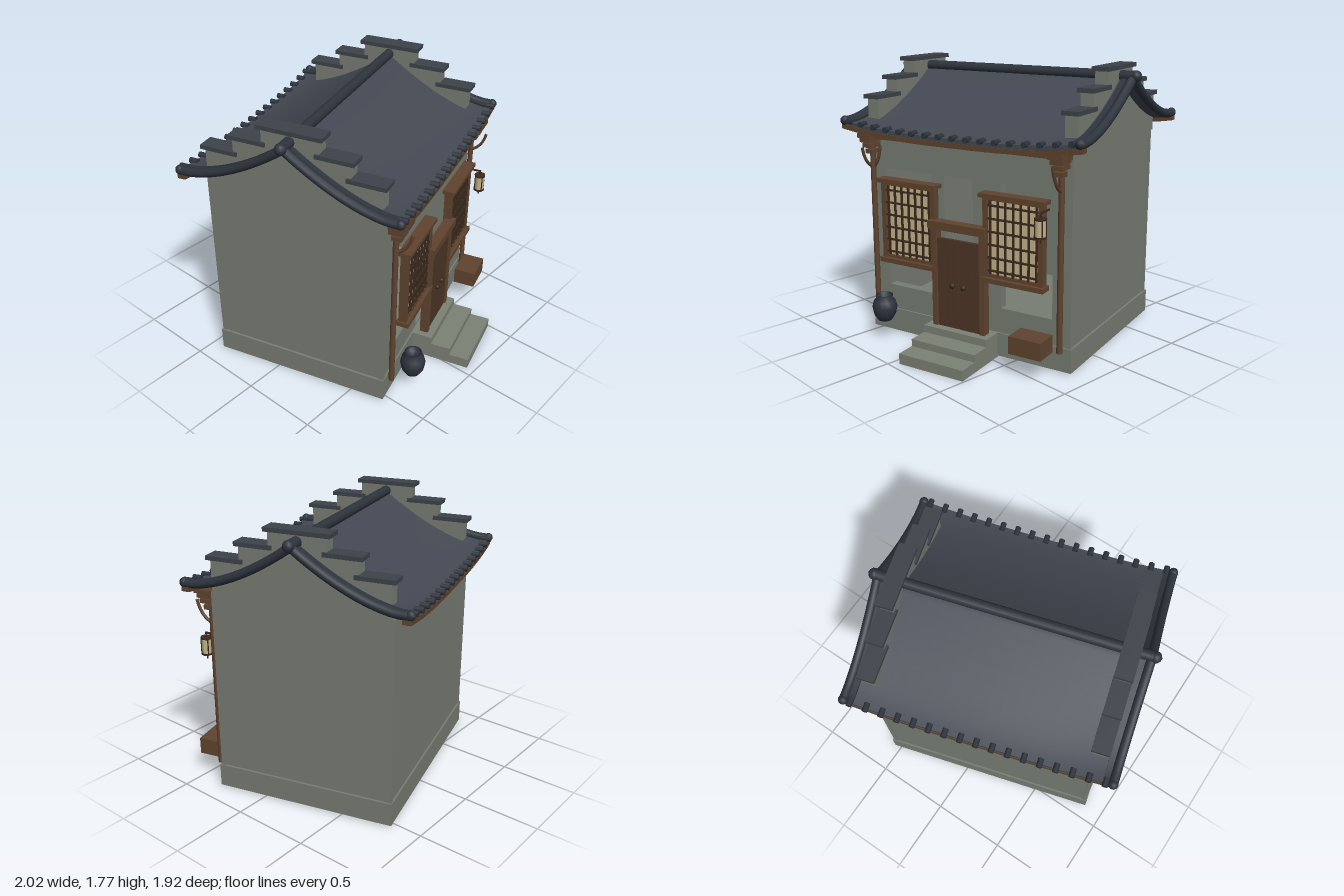
import * as THREE from 'three';

const mat = (name, color) => {
  const m = new THREE.MeshStandardMaterial({ color });
  m.name = name;
  return m;
};

export function createModel() {
  const M = {
    wall: mat('grey plaster', 0x777d73),
    stone: mat('step stone', 0x7c8276),
    roof: mat('roof slate', 0x434852),
    cap: mat('coping slate', 0x3d434a),
    tile: mat('dark ridge tile', 0x2e343d),
    wood: mat('brown timber', 0x60442f),
    door: mat('door timber', 0x4c3524),
    lattice: mat('lattice timber', 0x3a291d),
    paper: mat('window paper', 0xc6b78d),
    jar: mat('jar glaze', 0x2f343f),
  };
  const model = new THREE.Group();
  model.name = 'house';
  // The house stands turned about the vertical
  const house = new THREE.Group();
  house.name = 'turnedHouse';
  house.rotation.y = 0.281;
  house.position.z = -0.05;
  model.add(house);

  const add = (name, geo, m, x = 0, y = 0, z = 0, parent = house) => {
    const mesh = new THREE.Mesh(geo, m);
    mesh.name = name;
    mesh.position.set(x, y, z);
    parent.add(mesh);
    return mesh;
  };
  // Box given by its centre in x and z and its bottom and top in y
  const box = (name, m, x, y0, y1, z, w, d, parent) =>
    add(name, new THREE.BoxGeometry(w, y1 - y0, d), m, x, (y0 + y1) / 2, z, parent);
  const group = (name, x = 0, y = 0, z = 0) => {
    const g = new THREE.Group();
    g.name = name;
    g.position.set(x, y, z);
    house.add(g);
    return g;
  };
  const sides = [-1, 1];

  // Plinth and hollow walls
  box('plinth', M.wall, 0, 0.01, 0.16, 0, 1.47, 1.17);
  const front = new THREE.Shape([[-0.72, 0.16], [0.72, 0.16], [0.72, 1.33], [-0.72, 1.33]]
    .map(p => new THREE.Vector2(...p)));
  for (const [a, b, low] of [[-0.6, -0.25, 0.32], [-0.155, 0.155, 0.17], [0.25, 0.6, 0.32]]) {
    front.holes.push(new THREE.Path([[a, low], [a, 1.1], [b, 1.1], [b, low]]
      .map(p => new THREE.Vector2(...p))));
  }
  add('frontWall', new THREE.ExtrudeGeometry(front, { depth: 0.06, bevelEnabled: false }), M.wall, 0, 0, 0.513);
  box('backWall', M.wall, 0, 0.16, 1.33, -0.543, 1.44, 0.06);
  for (const s of sides) {
    box('sideWall', M.wall, s * 0.69, 0.16, 1.33, 0, 0.06, 1.03);
    for (const t of sides) box('cornerStrip', M.wall, s * 0.711, 0.16, 1.33, t * 0.564, 0.03, 0.03);
    // Stepped gable with slate copings
    [[0.18, 1.745], [0.37, 1.64], [0.56, 1.535]].forEach(([half, top], i) => {
      box('gableStep', M.wall, s * 0.7, 1.3, top, 0, 0.085 - i * 0.001, half * 2);
      if (i === 0) box('topCoping', M.cap, s * 0.7, top, top + 0.026, 0, 0.11, 0.41);
      else for (const t of sides) box('coping', M.cap, s * 0.7, top, top + 0.026, t * (half - 0.095), 0.11, 0.24);
    });
  }

  // Sagging roof with lifted corners
  const lift = x => 0.05 * Math.abs(x / 0.84) ** 3;
  const roofY = (x, z) => {
    const t = Math.min(1, Math.abs(z) / 0.7);
    return 1.345 + 0.34 * (1 - t) ** 1.5 + lift(x) * t * t;
  };
  const bend = (geo, rule) => {
    const p = geo.attributes.position;
    for (let i = 0; i < p.count; i++) p.setY(i, p.getY(i) + rule(p.getX(i), p.getZ(i)));
    geo.computeVertexNormals();
    return geo;
  };
  add('roof', bend(new THREE.BoxGeometry(1.66, 0.03, 1.4, 20, 1, 28), roofY), M.roof);
  const ridge = add('ridge', new THREE.CylinderGeometry(0.033, 0.033, 1.7, 12), M.tile, 0, 1.705, 0);
  ridge.rotation.z = Math.PI / 2;
  for (const s of sides) {
    add('ridgeEnd', new THREE.SphereGeometry(0.036, 12, 8), M.tile, s * 0.84, 1.705, 0);
    for (const t of sides) {
      // Sloping edge tubes
      const pts = [];
      for (let i = 0; i <= 8; i++) pts.push(new THREE.Vector3(s * 0.82, roofY(0.82, t * i * 0.0875) + 0.01, t * i * 0.0875));
      add('edgeTube', new THREE.TubeGeometry(new THREE.CatmullRomCurve3(pts), 20, 0.028, 10), M.tile);
      add('edgeTubeEnd', new THREE.SphereGeometry(0.03, 10, 8), M.tile, s * 0.82, 1.405, t * 0.695);
      box('edgeBoard', M.tile, s * 0.775, 0, 0.022, 0, 0.03, 0.7);
      const board = house.children[house.children.length - 1];
      board.geometry = bend(new THREE.BoxGeometry(0.035, 0.03, 0.7, 1, 1, 16), (x, z) => roofY(0.775, z + t * 0.35) + 0.012);
      board.position.set(s * 0.775, 0, t * 0.35);
    }
  }
  for (const t of sides) {
    // Eave board and round tile ends
    add('eaveBoard', bend(new THREE.BoxGeometry(1.68, 0.03, 0.05, 24, 1, 1), x => 1.32 + lift(x)), M.wood, 0, 0, t * 0.68);
    for (let i = -8; i <= 8; i++) {
      const x = i * 0.097;
      const end = add('tileEnd', new THREE.CylinderGeometry(0.018, 0.018, 0.055, 8), M.tile, x, 1.365 + lift(x), t * 0.695);
      end.rotation.x = Math.PI / 2;
    }
  }

  // Porch posts, beam and brackets
  box('porchBeam', M.wood, 0, 1.295, 1.33, 0.62, 1.46, 0.04);
  for (const s of sides) {
    const g = group('porchPost', s * 0.672, 0, 0.615);
    add('post', new THREE.CylinderGeometry(0.018, 0.018, 1.18, 10), M.wood, 0, 0.73, 0, g);
    [[1.2, 0.05, 0.06], [1.24, 0.065, 0.1], [1.275, 0.08, 0.13], [1.305, 0.095, 0.16]]
      .forEach(([y, w, d]) => box('bracketBlock', M.wood, 0, y, y + 0.028, 0.01, w, d, g));
    const brace = (x, z) => add('brace', new THREE.TubeGeometry(new THREE.QuadraticBezierCurve3(
      new THREE.Vector3(0, 1.11, 0), new THREE.Vector3(x * 0.8, 1.14, z * 0.8), new THREE.Vector3(x, 1.25, z)),
      8, 0.01, 6), M.wood, 0, 0, 0, g);
    brace(0, 0.1);
    brace(-s * 0.06, 0);
  }

  // Papered lattice windows
  for (const s of sides) {
    const g = group('window', s * 0.377, 0, 0.635);
    box('windowHeader', M.wood, 0, 1.03, 1.055, 0.005, 0.44, 0.08, g);
    box('windowSill', M.wood, 0, 0.51, 0.54, 0.005, 0.43, 0.08, g);
    for (const t of sides) box('windowPost', M.wood, t * 0.187, 0.54, 1.03, 0, 0.03, 0.05, g);
    for (const y of [0.54, 1.012]) box('windowRail', M.wood, 0, y, y + 0.018, 0, 0.345, 0.04, g);
    box('windowPaper', M.paper, 0, 0.555, 1.015, 0, 0.345, 0.009, g);
    for (let i = -3; i <= 3; i++) box('latticeUpright', M.lattice, i * 0.052, 0.555, 1.015, 0.012, 0.009, 0.014, g);
    for (let i = 0; i < 6; i++) box('latticeBar', M.lattice, 0, 0.576 + i * 0.08, 0.586 + i * 0.08, 0.015, 0.345, 0.014, g);
  }

  // Plank door
  const door = group('door', 0, 0, 0.645);
  box('doorLintel', M.wood, 0, 0.79, 0.84, 0.01, 0.41, 0.07, door);
  box('doorBacking', M.door, 0, 0.16, 0.725, -0.01, 0.31, 0.02, door);
  for (const s of sides) {
    box('doorPost', M.wood, s * 0.172, 0.16, 0.79, 0, 0.035, 0.055, door);
    for (let i = 0; i < 3; i++) box('doorPlank', M.door, s * (0.027 + i * 0.051), 0.16, 0.73, 0.008, 0.047, 0.02, door);
    add('doorKnob', new THREE.SphereGeometry(0.018, 10, 8), M.lattice, s * 0.04, 0.44, 0.025, door);
  }

  // Entrance steps
  [[0.973, 0.067], [0.845, 0.113], [0.715, 0.16]].forEach(([z, y]) =>
    box('entranceStep', M.stone, 0, 0, y, (z + 0.57) / 2, 0.46, z - 0.57));

  // Water jar
  const jarProfile = [[0, 0], [0.045, 0], [0.07, 0.04], [0.08, 0.09], [0.07, 0.13], [0.05, 0.147], [0.056, 0.168], [0.045, 0.168], [0.04, 0.14], [0, 0.13]];
  add('waterJar', new THREE.LatheGeometry(jarProfile.map(p => new THREE.Vector2(...p)), 14), M.jar, -0.547, 0.13, 0.706);

  // Crate
  box('crate', M.wood, 0.535, 0.148, 0.258, 0.716, 0.212, 0.147);

  // Hanging lantern
  const lantern = group('lantern', 0.595, 0, 0.718);
  add('lanternPaper', new THREE.CylinderGeometry(0.033, 0.033, 0.1, 8), M.paper, 0, 0.915, 0, lantern);
  for (const y of [0.862, 0.968]) add('lanternCap', new THREE.CylinderGeometry(0.037, 0.037, 0.012, 8), M.lattice, 0, y, 0, lantern);
  for (let i = 0; i < 4; i++) {
    const a = Math.PI / 4 + i * Math.PI / 2;
    box('lanternRib', M.lattice, 0.034 * Math.sin(a), 0.86, 0.97, 0.034 * Math.cos(a), 0.006, 0.006, lantern);
  }
  box('lanternHanger', M.lattice, 0, 0.97, 1.0, 0, 0.008, 0.008, lantern);
  box('lanternTassel', M.lattice, 0, 0.825, 0.86, 0, 0.008, 0.008, lantern);
  box('lanternArm', M.lattice, 0, 0.995, 1.005, -0.05, 0.01, 0.11, lantern);

  return model;
}
